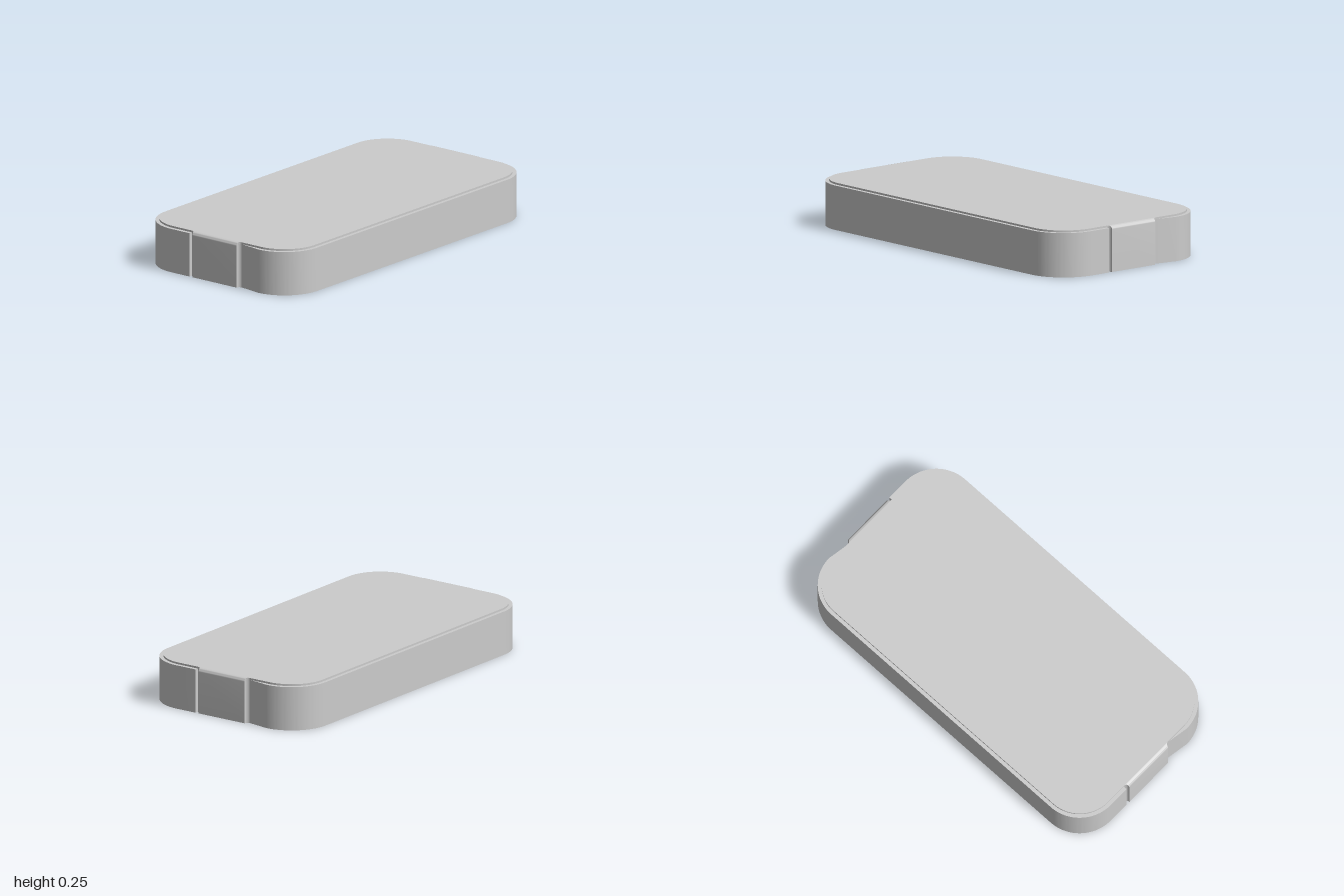
import * as THREE from 'three';
import { toCreasedNormals } from 'three/addons/utils/BufferGeometryUtils.js';

const HALF_W = 0.51, HALF_L = 1, RADIUS = 0.22;
const STEP = 0.02;            // rim thickness, also groove depth
const RIM_H = 0.235, TOP_H = 0.245;
const TAB_W = 0.148, GAP_W = 0.168;

const material = new THREE.MeshStandardMaterial({ color: 0xcccccc });

// Extrude a plan shape upwards from y = 0, smooth on curves and sharp on edges
function extrudeUp(shape, depth, steps = 1) {
  const geo = new THREE.ExtrudeGeometry(shape, { depth, steps, curveSegments: 20, bevelEnabled: false });
  return geo.rotateX(-Math.PI / 2);
}

function addPart(group, name, geo, turned = false) {
  const mesh = new THREE.Mesh(toCreasedNormals(geo, 0.5), material);
  mesh.name = name;
  if (turned) mesh.rotation.y = Math.PI;
  group.add(mesh);
}

// Full rounded rectangle, inset from the outer outline
function coreShape(inset) {
  const w = HALF_W - inset, l = HALF_L - inset, r = RADIUS - inset;
  const s = new THREE.Shape();
  s.absarc(w - r, l - r, r, 0, Math.PI / 2);
  s.absarc(r - w, l - r, r, Math.PI / 2, Math.PI);
  s.absarc(r - w, r - l, r, Math.PI, Math.PI * 1.5);
  s.absarc(w - r, r - l, r, Math.PI * 1.5, Math.PI * 2);
  s.closePath();
  return s;
}

// C-shaped strip around one long side, ending at the grooves
function rimShape() {
  const cx = HALF_W - RADIUS, cz = HALF_L - RADIUS, q = Math.PI / 2;
  const s = new THREE.Shape();
  s.moveTo(GAP_W, -HALF_L);
  s.absarc(cx, -cz, RADIUS, -q, 0, false);
  s.absarc(cx, cz, RADIUS, 0, q, false);
  s.lineTo(GAP_W, HALF_L);
  s.lineTo(GAP_W, HALF_L - STEP);
  s.absarc(cx, cz, RADIUS - STEP, q, 0, true);
  s.absarc(cx, -cz, RADIUS - STEP, 0, -q, true);
  s.lineTo(GAP_W, STEP - HALF_L);
  s.closePath();
  return s;
}

// End tab: concave flare towards the core and a rounded top edge
function tabGeometry() {
  const arcSteps = 10, flare = 0.017, n = 6;
  const halfWidth = d => TAB_W + flare * (1 - Math.sqrt(Math.max(0, 1 - (1 - d / STEP) ** 2)));
  const points = [];
  for (let i = 0; i <= n; i++) {
    const d = STEP * i / n;
    points.push(new THREE.Vector2(halfWidth(d), d));
  }
  for (let i = n; i >= 0; i--) points.push(new THREE.Vector2(-points[i].x, points[i].y));
  const geo = extrudeUp(new THREE.Shape(points), arcSteps + 1, arcSteps + 1);
  const p = geo.attributes.position;
  for (let i = 0; i < p.count; i++) {
    // level 0 is the floor, the others follow the quarter round
    const level = Math.round(p.getY(i));
    const a = Math.max(0, level - 1) / arcSteps * Math.PI / 2;
    const reach = Math.max(0.0002, STEP * Math.cos(a));
    const d = -p.getZ(i) * reach / STEP;
    const y = level === 0 ? 0 : TOP_H - STEP + STEP * Math.sin(a);
    p.setXYZ(i, Math.sign(p.getX(i)) * halfWidth(d), y, -(HALF_L - STEP + d));
  }
  return geo;
}

export function createModel() {
  const group = new THREE.Group();
  group.name = 'roundedCase';

  addPart(group, 'corePanel', extrudeUp(coreShape(STEP), TOP_H));

  const rim = extrudeUp(rimShape(), RIM_H);
  addPart(group, 'leftRim', rim);
  addPart(group, 'rightRim', rim, true);

  const tab = tabGeometry();
  addPart(group, 'backTab', tab);
  addPart(group, 'frontTab', tab, true);

  return group;
}
